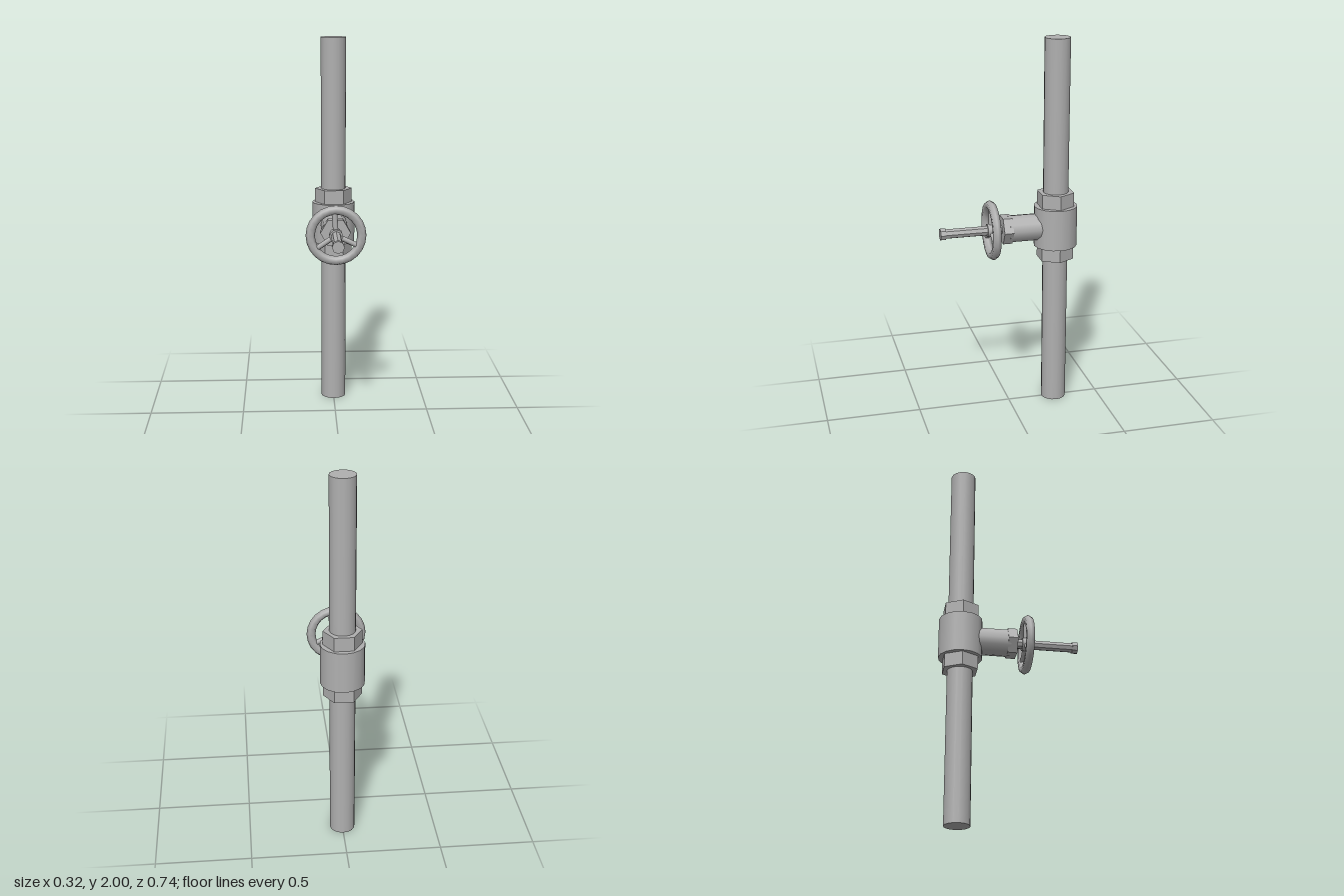
import * as THREE from 'three';

const CENTER_Y = 1.0;
const PIPE_Z = -0.255;

export function createModel() {
  const model = new THREE.Group();
  model.name = 'pipeValve';
  const smoothMetal = new THREE.MeshStandardMaterial({ color: 0xb0b0b0 });
  smoothMetal.name = 'grey metal';

  // Faceted parts get split vertices so each side has its own normal
  function faceted(geometry) {
    const flat = geometry.toNonIndexed();
    flat.computeVertexNormals();
    return flat;
  }

  function addPart(parent, name, geometry) {
    const mesh = new THREE.Mesh(geometry, smoothMetal);
    mesh.name = name;
    parent.add(mesh);
    return mesh;
  }

  // Cylinder on the pipe axis, spanning y0..y1, with corners on +-x
  function upright(name, radius, y0, y1, sides, flat = false) {
    let g = new THREE.CylinderGeometry(radius, radius, y1 - y0, sides);
    g.rotateY(Math.PI / 2);
    if (flat) g = faceted(g);
    g.translate(0, (y0 + y1) / 2, PIPE_Z);
    return addPart(model, name, g);
  }

  // Cylinder pointing forward, spanning z0..z1, with corners on +-x
  function forward(name, radius, z0, z1, sides, flat = false) {
    let g = new THREE.CylinderGeometry(radius, radius, z1 - z0, sides);
    g.rotateY(Math.PI / 2);
    g.rotateX(Math.PI / 2);
    if (flat) g = faceted(g);
    g.translate(0, CENTER_Y, (z0 + z1) / 2);
    return addPart(model, name, g);
  }

  // Vertical pipe run with the valve body and its two hex couplings
  upright('pipe', 0.067, 0, 2, 16);
  upright('valveBody', 0.115, 0.893, 1.112, 16);
  upright('lowerHexNut', 0.1, 0.82, 0.9, 6, true);
  upright('upperHexNut', 0.1, 1.105, 1.187, 6, true);

  // Bonnet: neck, whose corners just break through the flats of its hex nut
  forward('neck', 0.072, -0.2, 0.005, 12);
  forward('bonnetHexNut', 0.08, -0.01, 0.04, 6, true);

  // Stem with a wider end stop
  forward('stem', 0.026, 0.03, 0.345, 8, true);
  forward('stemEnd', 0.032, 0.34, 0.368, 8, true);

  // Handwheel: rim, hub and three spokes
  const wheel = new THREE.Group();
  wheel.name = 'handwheel';
  wheel.position.set(0, CENTER_Y, 0.094);
  model.add(wheel);
  addPart(wheel, 'rim', new THREE.TorusGeometry(0.134, 0.024, 6, 24));
  const hub = new THREE.CylinderGeometry(0.035, 0.035, 0.046, 12);
  hub.rotateX(Math.PI / 2);
  addPart(wheel, 'hub', hub);
  for (let i = 0; i < 3; i++) {
    const spoke = new THREE.CylinderGeometry(0.014, 0.014, 0.12, 8);
    spoke.translate(0, 0.07, 0);
    addPart(wheel, 'spoke', spoke).rotation.z = 0.07 + (i * Math.PI * 2) / 3;
  }

  return model;
}
